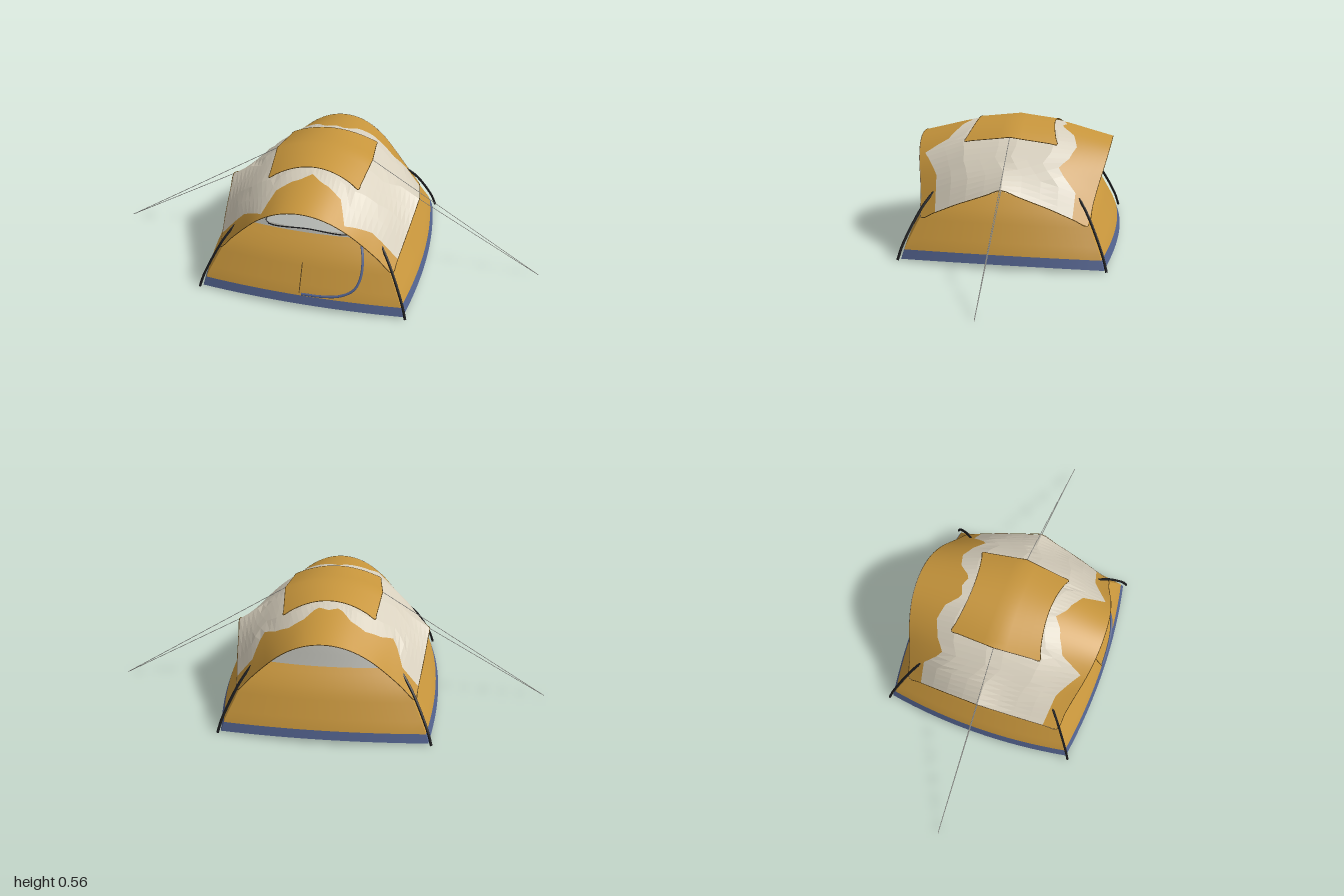
import * as THREE from 'three';

const mat = (color, flatShading = false) =>
  new THREE.MeshStandardMaterial({ color, flatShading, side: THREE.DoubleSide });
const V = (x, y, z) => new THREE.Vector3(x, y, z);

// piecewise linear lookup in a list of [key, value] pairs
function lookup(table, k) {
  for (let i = 1; i < table.length; i++) {
    const [k0, v0] = table[i - 1], [k1, v1] = table[i];
    if (k <= k1) return v0 + (v1 - v0) * (k - k0) / (k1 - k0);
  }
  return table[table.length - 1][1];
}

// surface patch from fn(u, v), both running 0..1
function sheet(name, fn, nu, nv, material) {
  const pos = [], idx = [];
  for (let j = 0; j <= nv; j++)
    for (let i = 0; i <= nu; i++) pos.push(...fn(i / nu, j / nv).toArray());
  for (let j = 0; j < nv; j++)
    for (let i = 0; i < nu; i++) {
      const a = j * (nu + 1) + i, b = a + nu + 1;
      idx.push(a, a + 1, b + 1, a, b + 1, b);
    }
  const g = new THREE.BufferGeometry();
  g.setAttribute('position', new THREE.Float32BufferAttribute(pos, 3));
  g.setIndex(idx);
  g.computeVertexNormals();
  const m = new THREE.Mesh(g, material);
  m.name = name;
  return m;
}

function cord(name, pts, r, material, closed = false, sides = 5) {
  const curve = new THREE.CatmullRomCurve3(pts, closed, 'centripetal');
  const m = new THREE.Mesh(new THREE.TubeGeometry(curve, pts.length * 4, r, sides, closed), material);
  m.name = name;
  return m;
}

// half width of the inner tent's corners at each height
const CORNER = [[0.005, 0.455], [0.06, 0.438], [0.2, 0.37], [0.25, 0.335], [0.29, 0.3], [0.35, 0.25],
  [0.4, 0.203], [0.45, 0.142], [0.485, 0.085], [0.505, 0.03], [0.51, 0]];

// point on one wall of the dome; v = -1..1 between its two corners
function wallPoint(k, v, y, off = 0) {
  const c = lookup(CORNER, y), bulge = 1 - v * v;
  const n = c * (1 + 0.09 * bulge) + off;
  const p = V(v * c, y + 0.015 * bulge * Math.max(0, 1 - y / 0.3), n);
  p.applyAxisAngle(V(0, 1, 0), k * Math.PI / 2);
  p.z *= 0.96;
  return p;
}
const frontPoint = (x, y, off = 0.005) =>
  wallPoint(0, THREE.MathUtils.clamp(x / lookup(CORNER, y), -1, 1), y, off);

// rainfly cross-sections at the middle, quarter and end: [x, y, z] from ridge to hem
const SECTIONS = [
  [[0, 0.55, 0], [0.1, 0.537, 0], [0.21, 0.49, 0], [0.33, 0.405, 0], [0.44, 0.33, 0]],
  [[0, 0.53, 0.2], [0.1, 0.515, 0.2], [0.21, 0.463, 0.2], [0.33, 0.36, 0.2], [0.415, 0.25, 0.2]],
  [[0, 0.47, 0.435], [0.1, 0.45, 0.43], [0.2, 0.385, 0.412], [0.29, 0.29, 0.385], [0.39, 0.175, 0.36]],
].map(half => new THREE.CatmullRomCurve3([
  ...half.slice(1).reverse().map(([x, y, z]) => V(-x, y, z)),
  ...half.map(([x, y, z]) => V(x, y, z)),
]));

function flyPoint(s, t) {
  const a = Math.min(Math.abs(t), 1) * 2, i = a < 1 ? 0 : 1, u = (s + 1) / 2;
  const p = SECTIONS[i].getPoint(u).lerp(SECTIONS[i + 1].getPoint(u), a - i);
  if (t < 0) p.z *= -1;
  return p;
}

// where the pale cloth meets the gold ends, from ridge to hem
const SEAM_FRONT = [[0, 0.52], [0.12, 0.6], [0.2, 0.62], [0.35, 0.7], [0.45, 0.94], [0.7, 0.8], [1, 0.8]];
const SEAM_BACK = [[0, 0.56], [0.12, 0.52], [0.25, 0.65], [0.4, 0.7], [0.55, 0.65], [0.66, 0.55], [0.8, 0.78], [1, 0.8]];

function ventPoint(s, t) {
  const a = Math.abs(t), q = s * s;
  return V(s * (0.22 - 0.02 * a), 0.558 - 0.018 * a - (0.053 + 0.012 * a) * q, t * (0.175 + 0.03 * q));
}

// thin edging around a surface given by fn(s, t)
function border(name, fn, material) {
  const pts = [], n = 12;
  const corners = [[-1, -1], [1, -1], [1, 1], [-1, 1]];
  corners.forEach(([s, t], i) => {
    const [s2, t2] = corners[(i + 1) % 4];
    for (let j = 0; j < n; j++) pts.push(fn(s + (s2 - s) * j / n, t + (t2 - t) * j / n));
  });
  return cord(name, pts, 0.0018, material, true, 4);
}

export function createModel() {
  const root = new THREE.Group();
  root.name = 'tent';
  const body = new THREE.Group();
  body.name = 'tentBody';
  body.position.x = -0.01;
  root.add(body);

  const gold = mat(0xc8963c), pale = mat(0xd8d0be, true), navy = mat(0x53638f), mesh = mat(0xa6a69f);
  const floorMat = mat(0x2a3040), dark = mat(0x1c1c1e), trim = mat(0x5a4218);
  const glass = mat(0xc2c5c0), rope = mat(0x8a8a86);

  // inner tent: groundsheet skirt, gold wall and mesh top on all four sides
  const bands = [['skirt', 0.005, 0.045, 2, navy], ['wall', 0.045, 0.29, 10, gold], ['meshTop', 0.29, 0.51, 16, mesh]];
  for (let k = 0; k < 4; k++) {
    for (const [name, y0, y1, rows, m] of bands)
      body.add(sheet(name, (u, v) => wallPoint(k, u * 2 - 1, y0 + (y1 - y0) * v), 16, rows, m));
    body.add(sheet('floor', (u, v) => wallPoint(k, u * 2 - 1, 0.005).multiply(V(1 - v, 1, 1 - v)), 16, 2, floorMat));
  }

  // front window with its edging
  const WINDOW = [[0.305, 0.19], [0.35, 0.18], [0.4, 0.14], [0.42, 0.115], [0.435, 0.075]];
  body.add(sheet('window', (u, v) => {
    const y = 0.305 + 0.13 * v;
    return frontPoint((u * 2 - 1) * lookup(WINDOW, y), y);
  }, 12, 8, glass));
  const rim = [...WINDOW.map(([y, x]) => [x, y]), [0, 0.438], ...WINDOW.map(([y, x]) => [-x, y]).reverse(), [0, 0.305]];
  body.add(cord('windowEdge', rim.map(([x, y]) => frontPoint(x, y)), 0.003, dark, true));

  // door zips
  const zip = [[0.24, 0.28], [0.258, 0.22], [0.258, 0.15], [0.235, 0.1], [0.18, 0.07], [0.1, 0.058], [0.01, 0.056]];
  body.add(cord('doorZip', zip.map(([x, y]) => frontPoint(x, y)), 0.006, navy));
  body.add(cord('middleZip', [0.06, 0.12, 0.185].map(y => frontPoint(0, y)), 0.002, trim));

  // two crossing poles
  for (const side of [1, -1]) {
    const leg = CORNER.slice(1, -1).map(([y, c]) => [c + 0.01, y + 0.008]);
    leg.unshift([0.468, 0.004]);
    const at = f => ([c, y]) => V(f * side * c, y, f * c * 0.96);
    body.add(cord('pole', [...leg.map(at(1)), V(0, 0.522, 0), ...leg.map(at(-1)).reverse()], 0.006, dark, false, 6));
  }

  // rainfly: gold ends and pale middle
  const front = s => lookup(SEAM_FRONT, Math.abs(s)), back = s => -lookup(SEAM_BACK, Math.abs(s));
  const fly = (name, from, to, rows, m) => body.add(sheet(name, (u, v) => {
    const s = u * 2 - 1, a = from(s);
    return flyPoint(s, a + (to(s) - a) * v);
  }, 40, rows, m));
  fly('flyFront', front, () => 1, 5, gold);
  fly('flyMiddle', back, front, 8, pale);
  fly('flyBack', () => -1, back, 5, gold);
  body.add(border('flyEdge', flyPoint, trim));

  // roof vent cover
  body.add(sheet('ventCover', (u, v) => ventPoint(u * 2 - 1, v * 2 - 1), 16, 8, gold));
  body.add(border('ventEdge', ventPoint, trim));

  // guy ropes on both sides
  for (const side of [1, -1])
    for (const [x, y] of [[0.22, 0.505], [0.44, 0.33]])
      root.add(cord('guyRope', [V(side * 0.999, 0.002, 0), V(side * x - 0.01, y, 0)], 0.0015, rope, false, 4));

  return root;
}
